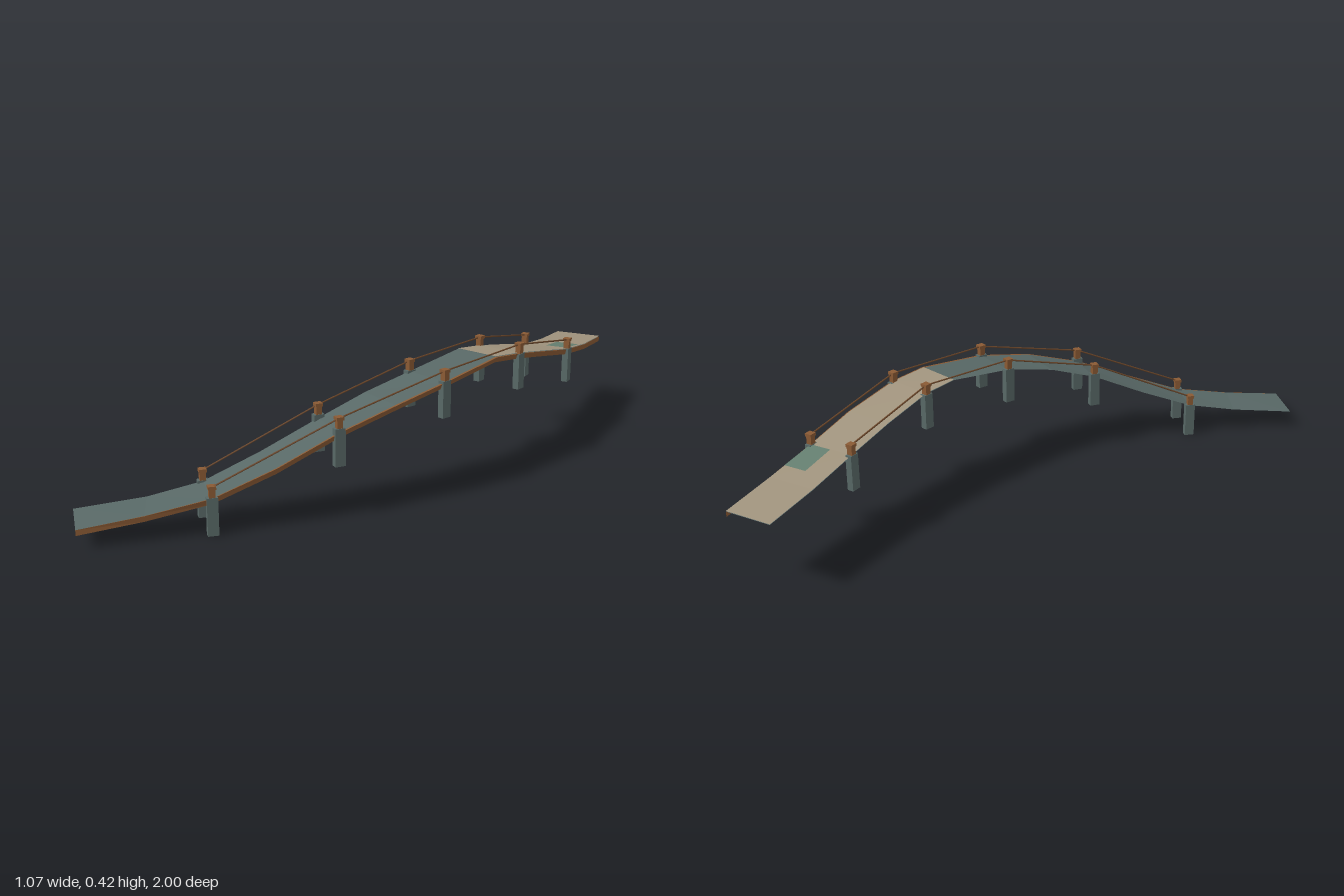
import * as THREE from 'three';

const mat = (name, color) => {
  const m = new THREE.MeshStandardMaterial({ color });
  m.name = name;
  return m;
};

// Deck edges from the low end to the far end: [inner x, inner z, outer x, outer z, height]
const STATIONS = [
  [-0.535, 0.87, -0.43, 1.0, 0.06], [-0.36, 0.74, -0.28, 0.87, 0.082], [-0.23, 0.63, -0.13, 0.74, 0.115],
  [-0.1, 0.5, 0.015, 0.61, 0.189], [0.03, 0.367, 0.148, 0.46, 0.274], [0.125, 0.23, 0.265, 0.31, 0.332],
  [0.212, 0.08, 0.357, 0.14, 0.371], [0.29, -0.14, 0.435, -0.1, 0.399], [0.325, -0.25, 0.475, -0.22, 0.386],
  [0.35, -0.43, 0.51, -0.42, 0.348], [0.367, -0.605, 0.523, -0.605, 0.308], [0.367, -0.8, 0.53, -0.8, 0.279],
  [0.367, -1.0, 0.53, -1.0, 0.26],
];
// Posts: [station, height of the support's base line]
const POSTS = [[2, 0.115], [4, 0.283], [6, 0.371], [8, 0.381], [10, 0.308]];
const SEAM = 7; // station where the paving changes

// Flat-shaded ribbon between two rows of points
function ribbon(left, right) {
  const pos = [];
  for (let i = 0; i < left.length - 1; i++) {
    const [a, b, c, d] = [left[i], right[i], right[i + 1], left[i + 1]];
    for (const p of [a, b, c, a, c, d]) pos.push(p.x, p.y, p.z);
  }
  const g = new THREE.BufferGeometry();
  g.setAttribute('position', new THREE.Float32BufferAttribute(pos, 3));
  g.computeVertexNormals();
  return g;
}

export function createModel() {
  const root = new THREE.Group();
  root.name = 'curvedFootbridge';

  const slate = mat('slate', 0x586866);
  const sand = mat('sand', 0xa0937d);
  const wood = mat('wood', 0x8a5a34);
  const darkWood = mat('darkWood', 0x6b4629);
  const moss = mat('moss', 0x657f70);
  for (const m of [slate, sand, wood, moss]) m.side = THREE.DoubleSide;

  const add = (parent, name, geo, material) => {
    const m = new THREE.Mesh(geo, material);
    m.name = name;
    parent.add(m);
    return m;
  };

  const inner = STATIONS.map(s => new THREE.Vector3(s[0], s[4], s[1]));
  const outer = STATIONS.map(s => new THREE.Vector3(s[2], s[4], s[3]));
  const shifted = (pts, dy) => pts.map(p => p.clone().setY(p.y + dy));

  // Deck sheet with a layer of lighter paving on its far half
  add(root, 'deck', ribbon(inner, outer), slate);
  add(root, 'upperPaving', ribbon(shifted(inner.slice(SEAM), 0.002), shifted(outer.slice(SEAM), 0.002)), sand);

  // Timber edge board along the outer side
  add(root, 'edgeBoard', ribbon(outer, shifted(outer, -0.018)), wood);

  // Narrow timber kerb outside the deck, tapering away at both ends
  const kerb = outer.map((p, i) => {
    const dir = outer[Math.min(i + 1, outer.length - 1)].clone().sub(outer[Math.max(i - 1, 0)]);
    const out = new THREE.Vector3(-dir.z, 0, dir.x).normalize();
    return p.clone().addScaledVector(out, 0.008 * Math.sin(Math.PI * i / (outer.length - 1)));
  });
  add(root, 'kerbTop', ribbon(outer, kerb), wood);
  add(root, 'kerbFace', ribbon(kerb, shifted(outer, -0.018)), wood);

  // Repaired patch of paving
  const v = (x, y, z) => new THREE.Vector3(x, y, z);
  add(root, 'deckPatch', ribbon(
    [v(0.445, 0.312, -0.61), v(0.445, 0.294, -0.735)],
    [v(0.521, 0.312, -0.61), v(0.525, 0.294, -0.735)]), moss);

  // Piers, posts and rails on both edges
  const pierGeo = new THREE.BoxGeometry(0.022, 0.12, 0.034);
  const postGeo = new THREE.BoxGeometry(0.019, 0.036, 0.019);
  const capGeo = new THREE.BoxGeometry(0.024, 0.01, 0.024);
  for (const [side, edge] of [['inner', inner], ['outer', outer]]) {
    const tops = [];
    for (const [i, base] of POSTS) {
      const p = edge[i].clone().setY(base);
      const dir = edge[i + 1].clone().sub(edge[i - 1]);
      const support = new THREE.Group();
      support.name = side + 'Support';
      support.position.copy(p);
      support.rotation.y = Math.atan2(dir.x, dir.z);
      add(support, 'pier', pierGeo, slate).position.y = -0.055;
      add(support, 'post', postGeo, wood).position.y = 0.018;
      add(support, 'postCap', capGeo, wood).position.y = 0.036;
      root.add(support);
      tops.push(p.clone().setY(base + 0.035));
    }
    for (let k = 0; k < tops.length - 1; k++) {
      const path = new THREE.LineCurve3(tops[k], tops[k + 1]);
      add(root, side + 'Rail', new THREE.TubeGeometry(path, 1, 0.0028, 6), darkWood);
    }
  }
  return root;
}
